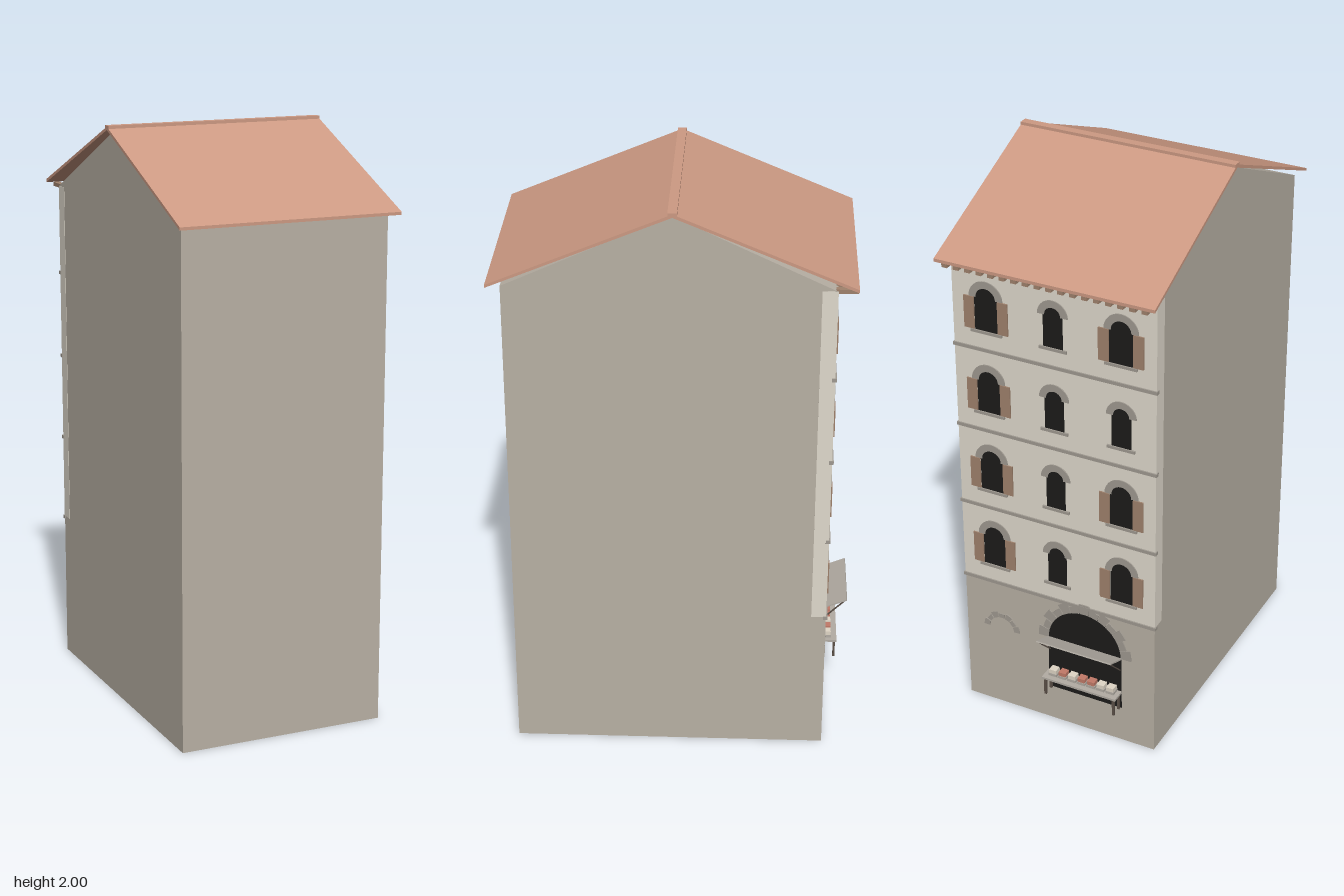
import * as THREE from 'three';

const mat = (name, color) => {
  const m = new THREE.MeshStandardMaterial({ color });
  m.name = name;
  return m;
};

export function createModel() {
  const M = {
    stone: mat('stone', 0xb9b1a5),
    plaster: mat('plaster', 0xe0dacd),
    trim: mat('grey trim', 0xa09a91),
    roof: mat('terracotta', 0xcd9a83),
    dark: mat('dark opening', 0x1c1b1a),
    wood: mat('shutter wood', 0xa0826d),
    board: mat('weathered board', 0xb3ada4),
    iron: mat('dark wood', 0x5c5148),
    red: mat('red goods', 0xc27a68),
    cream: mat('cream goods', 0xe0d6c6),
  };
  const model = new THREE.Group();
  model.name = 'townhouse';

  const add = (parent, name, geo, material, x = 0, y = 0, z = 0) => {
    const mesh = new THREE.Mesh(geo, material);
    mesh.name = name;
    mesh.position.set(x, y, z);
    parent.add(mesh);
    return mesh;
  };
  const box = (parent, name, material, w, h, d, x, y, z) =>
    add(parent, name, new THREE.BoxGeometry(w, h, d), material, x, y, z);

  // Extrudes a (z, y) cross-section along x between x0 and x1
  const alongX = (name, material, pts, x0, x1) => {
    const shape = new THREE.Shape(pts.map(p => new THREE.Vector2(...p)));
    const geo = new THREE.ExtrudeGeometry(shape, { depth: x1 - x0, bevelEnabled: false });
    geo.rotateY(-Math.PI / 2);
    return add(model, name, geo, material, x1);
  };

  // Main walls with gables
  const L = -0.366, R = 0.363, MID = (L + R) / 2;
  alongX('walls', M.stone,
    [[-0.515, 0], [0.555, 0], [0.555, 1.735], [0.012, 1.982], [-0.515, 1.735]], L, R);
  box(model, 'plasterFacade', M.plaster, R - L + 0.002, 1.215, 0.051, MID, 1.1275, -0.4905);

  // Roof slopes and ridge
  alongX('frontRoofSlope', M.roof,
    [[0.601, 1.738], [0.601, 1.748], [0.007, 1.996], [0.007, 1.985]], -0.39, 0.387);
  alongX('backRoofSlope', M.roof,
    [[-0.581, 1.741], [0.007, 1.985], [0.007, 1.996], [-0.581, 1.752]], -0.39, 0.387);
  box(model, 'ridgeCap', M.roof, 0.777, 0.014, 0.03, MID, 1.993, 0.007);

  // Street side: local +z points out of the wall, local z = 0 is the wall plane
  const facade = new THREE.Group();
  facade.name = 'streetFacade';
  facade.rotation.y = Math.PI;
  facade.position.set(MID, 0, -0.516);
  model.add(facade);

  // Rafter ends under the eave
  for (let i = 0; i < 18; i++) {
    box(facade, 'rafterEnd', M.wood, 0.02, 0.014, 0.07, -0.352 + i * 0.704 / 17, 1.734, 0.028);
  }
  // String courses
  for (let i = 0; i < 4; i++) {
    box(facade, 'stringCourse', M.trim, 0.738, 0.012, 0.016, 0, 0.516 + i * 0.303, -0.003);
  }

  // Round-headed plate standing on y = 0
  const archPlate = (r, spring) => {
    const s = new THREE.Shape();
    s.moveTo(-r, 0);
    s.lineTo(r, 0);
    s.lineTo(r, spring);
    s.absarc(0, spring, r, 0, Math.PI, false);
    s.closePath();
    return new THREE.ExtrudeGeometry(s, { depth: 0.002, bevelEnabled: false, curveSegments: 12 });
  };
  // Ring of wedge stones, alternating long and short
  const archStones = (parent, x, y, r0, r1, n, gap, alternate) => {
    for (let i = 0; i < n; i++) {
      const a = (i + gap) * Math.PI / n, b = (i + 1 - gap) * Math.PI / n;
      const outer = r1 - (i % 2 ? alternate : 0);
      const s = new THREE.Shape();
      s.absarc(0, 0, outer, a, b, false);
      s.absarc(0, 0, r0, b, a, true);
      s.closePath();
      add(parent, 'archStone', new THREE.ExtrudeGeometry(s,
        { depth: 0.004, bevelEnabled: false, curveSegments: 4 }), M.trim, x, y, 0);
    }
  };

  // Windows: four floors, three columns
  const makeWindow = (x, y, r, spring, shutters) => {
    const g = new THREE.Group();
    g.name = 'window';
    g.position.set(x, y, 0);
    facade.add(g);
    add(g, 'opening', archPlate(r, spring), M.dark);
    archStones(g, 0, spring, r - 0.006, r + 0.019, 5, 0, 0);
    box(g, 'sill', M.trim, r * 2 + 0.03, 0.01, 0.008, 0, -0.004, 0.003);
    if (!shutters) return;
    for (const side of [-1, 1]) {
      box(g, 'shutter', M.wood, 0.037, 0.115, 0.005, side * (r + 0.0195), 0.06, 0.0035);
    }
  };
  for (let floor = 0; floor < 4; floor++) {
    const y = 0.516 + floor * 0.303 + 0.07;
    makeWindow(-0.242, y, 0.042, 0.118, true);
    makeWindow(0, y, 0.035, 0.115, false);
    const bare = floor === 2;
    makeWindow(0.242, y, bare ? 0.035 : 0.042, bare ? 0.115 : 0.118, !bare);
  }

  // Ground floor: blind relieving arch and shop opening
  archStones(facade, -0.225, 0.322, 0.048, 0.07, 7, 0.08, 0.006);
  const shop = new THREE.Group();
  shop.name = 'shopFront';
  shop.position.set(0.1, 0, 0);
  facade.add(shop);
  add(shop, 'shopOpening', archPlate(0.141, 0.21), M.dark, 0, 0.14, 0);
  archStones(shop, 0, 0.35, 0.139, 0.178, 13, 0.03, 0.014);

  // Raised shop board, hinged at the wall, with two struts
  const awning = box(shop, 'raisedBoard', M.board, 0.285, 0.005, 0.092, 0, 0.367, 0.043);
  awning.rotation.x = -0.39;
  for (const side of [-1, 1]) {
    const strut = box(shop, 'strut', M.iron, 0.005, 0.119, 0.004, side * 0.135, 0.341, 0.042);
    strut.rotation.x = Math.PI / 4;
  }

  // Counter on legs
  box(shop, 'counterTop', M.board, 0.285, 0.008, 0.054, 0, 0.208, 0.027);
  for (const x of [-0.132, 0.132]) {
    for (const z of [0.007, 0.045]) {
      box(shop, 'counterLeg', M.iron, 0.009, 0.066, 0.008, x, 0.171, z);
    }
  }
  // Goods laid out on the counter
  const goods = [M.cream, M.red, M.cream, M.red, M.red, M.cream, M.cream];
  goods.forEach((m, i) => {
    const x = -0.111 + i * 0.037;
    box(shop, 'goodsTray', M.board, 0.031, 0.01, 0.032, x, 0.217, 0.019);
    box(shop, 'goods', m, 0.027, 0.014, 0.028, x, 0.229, 0.019);
  });

  return model;
}
